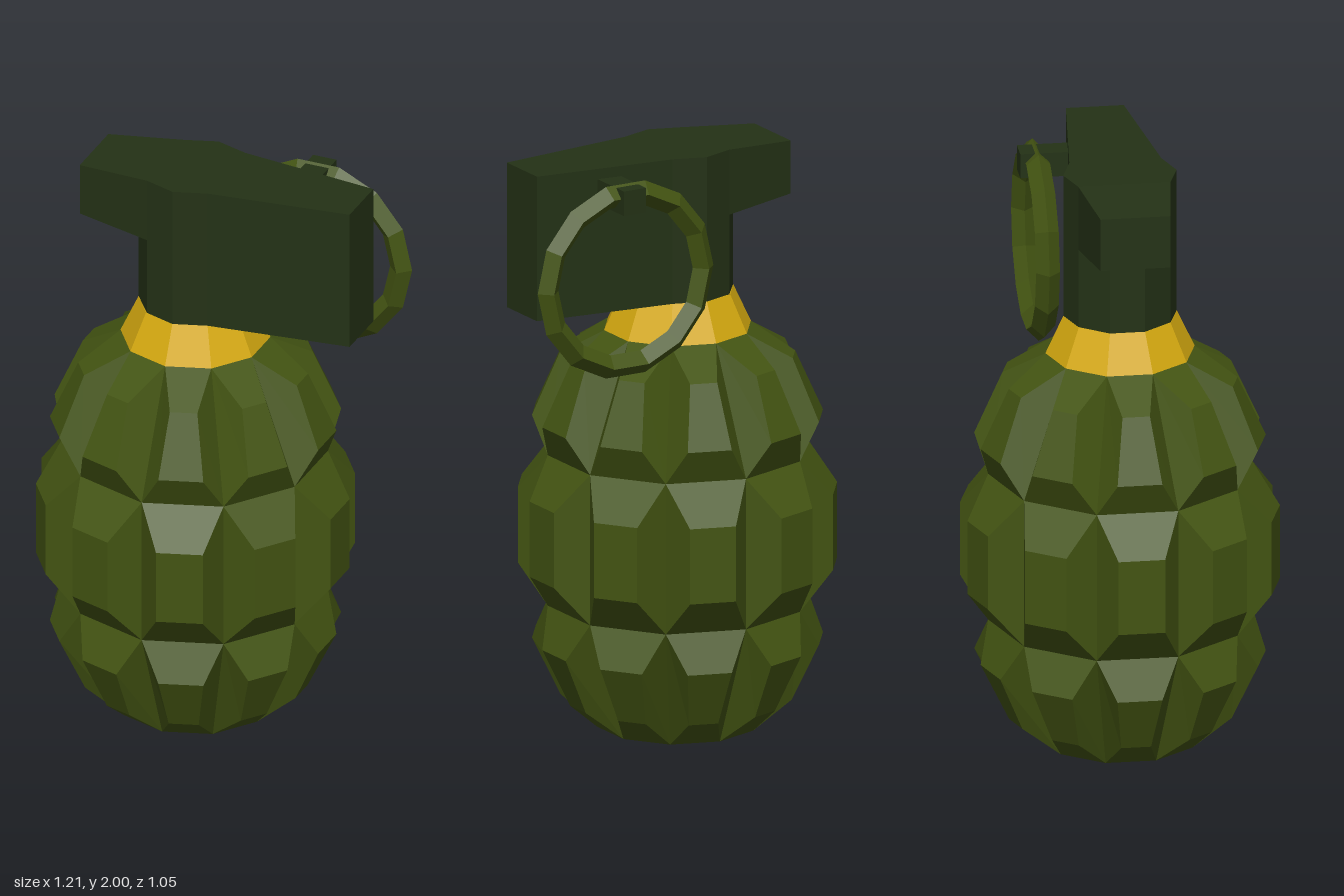
import * as THREE from 'three';
import { ConvexGeometry } from 'three/addons/geometries/ConvexGeometry.js';

const SIDES = 10;
const AXIS_X = -0.082; // the body axis sits left of the overall centre

const mat = (color) => new THREE.MeshStandardMaterial({ color, flatShading: true });

function add(group, name, geometry, material, x = 0, y = 0, z = 0) {
  const mesh = new THREE.Mesh(geometry, material);
  mesh.name = name;
  mesh.position.set(x, y, z);
  group.add(mesh);
  return mesh;
}

// Ten-sided shell: each tier is a ring of facets, every facet raised into a bevelled pad
function segmentedBody() {
  const half = Math.tan(Math.PI / SIDES);
  // [y, apothem] of the groove rings
  const grooves = [[0, 0.26], [0.43, 0.42], [0.95, 0.42], [1.37, 0.237]];
  // [y, apothem, half width] of the lower and upper edge of each pad
  const pads = [
    [[0.1, 0.385, 0.05], [0.3, 0.478, 0.075]],
    [[0.56, 0.525, 0.078], [0.82, 0.525, 0.078]],
    [[1.07, 0.478, 0.075], [1.28, 0.388, 0.046]],
  ];
  const pos = [];
  const quad = (a, b, c, d) => pos.push(...a, ...b, ...c, ...a, ...c, ...d);
  for (let s = 0; s < SIDES; s++) {
    const t = (s / SIDES) * Math.PI * 2;
    // point at height y, distance r along the facet normal, w sideways
    const P = (y, r, w) => [
      r * Math.cos(t) + w * Math.sin(t), y, r * Math.sin(t) - w * Math.cos(t),
    ];
    pads.forEach(([lo, hi], i) => {
      const [y0, r0] = grooves[i], [y1, r1] = grooves[i + 1];
      const outer = [P(y0, r0, -r0 * half), P(y0, r0, r0 * half),
        P(y1, r1, r1 * half), P(y1, r1, -r1 * half)];
      const inner = [P(lo[0], lo[1], -lo[2]), P(lo[0], lo[1], lo[2]),
        P(hi[0], hi[1], hi[2]), P(hi[0], hi[1], -hi[2])];
      quad(...inner);
      for (let k = 0; k < 4; k++) {
        const n = (k + 1) % 4;
        quad(outer[k], outer[n], inner[n], inner[k]);
      }
    });
    // flat base
    const r = grooves[0][1];
    pos.push(0, 0, 0, ...P(0, r, r * half), ...P(0, r, -r * half));
  }
  const g = new THREE.BufferGeometry();
  g.setAttribute('position', new THREE.Float32BufferAttribute(pos, 3));
  g.computeVertexNormals();
  return g;
}

// Convex block between two upright rectangles [x, yBottom, yTop, halfDepth]
function taperedBlock(...ends) {
  const pts = [];
  for (const [x, y0, y1, d] of ends)
    for (const y of [y0, y1])
      for (const z of [-d, d]) pts.push(new THREE.Vector3(x, y, z));
  return new ConvexGeometry(pts);
}

export function createModel() {
  const group = new THREE.Group();
  const green = mat(0x435412);
  const darkGreen = mat(0x243216);
  const yellow = mat(0xd6aa10);

  add(group, 'body', segmentedBody(), green, AXIS_X);

  // neck collar, corners facing front and back
  add(group, 'neck', new THREE.CylinderGeometry(0.19, 0.25, 0.13, SIDES), yellow, AXIS_X, 1.435);

  // lever head: plan outline extruded upwards
  const side = [[-0.19, 0.154], [-0.082, 0.19], [0.03, 0.154], [0.52, 0.097]];
  const outline = [...side, ...side.map(([x, z]) => [x, -z]).reverse()];
  const plan = new THREE.Shape(outline.map(([x, z]) => new THREE.Vector2(x, z)));
  const head = new THREE.ExtrudeGeometry(plan, { depth: 0.5, bevelEnabled: false });
  head.rotateX(-Math.PI / 2);
  add(group, 'leverHead', head, darkGreen, 0, 1.5);
  add(group, 'leverPost', taperedBlock([-0.262, 1.5, 1.79, 0.059], [-0.19, 1.5, 1.79, 0.154]), darkGreen);
  add(group, 'leverArm', taperedBlock([-0.45, 1.8, 1.983, 0.117], [-0.19, 1.775, 2, 0.154]), darkGreen);

  // pull ring hanging on its pin behind the head
  add(group, 'pullRing', new THREE.TorusGeometry(0.3, 0.04, 4, 14), green, 0.26, 1.64, -0.235);
  add(group, 'pin', new THREE.BoxGeometry(0.085, 0.085, 0.17), darkGreen, 0.258, 1.922, -0.207);

  return group;
}
